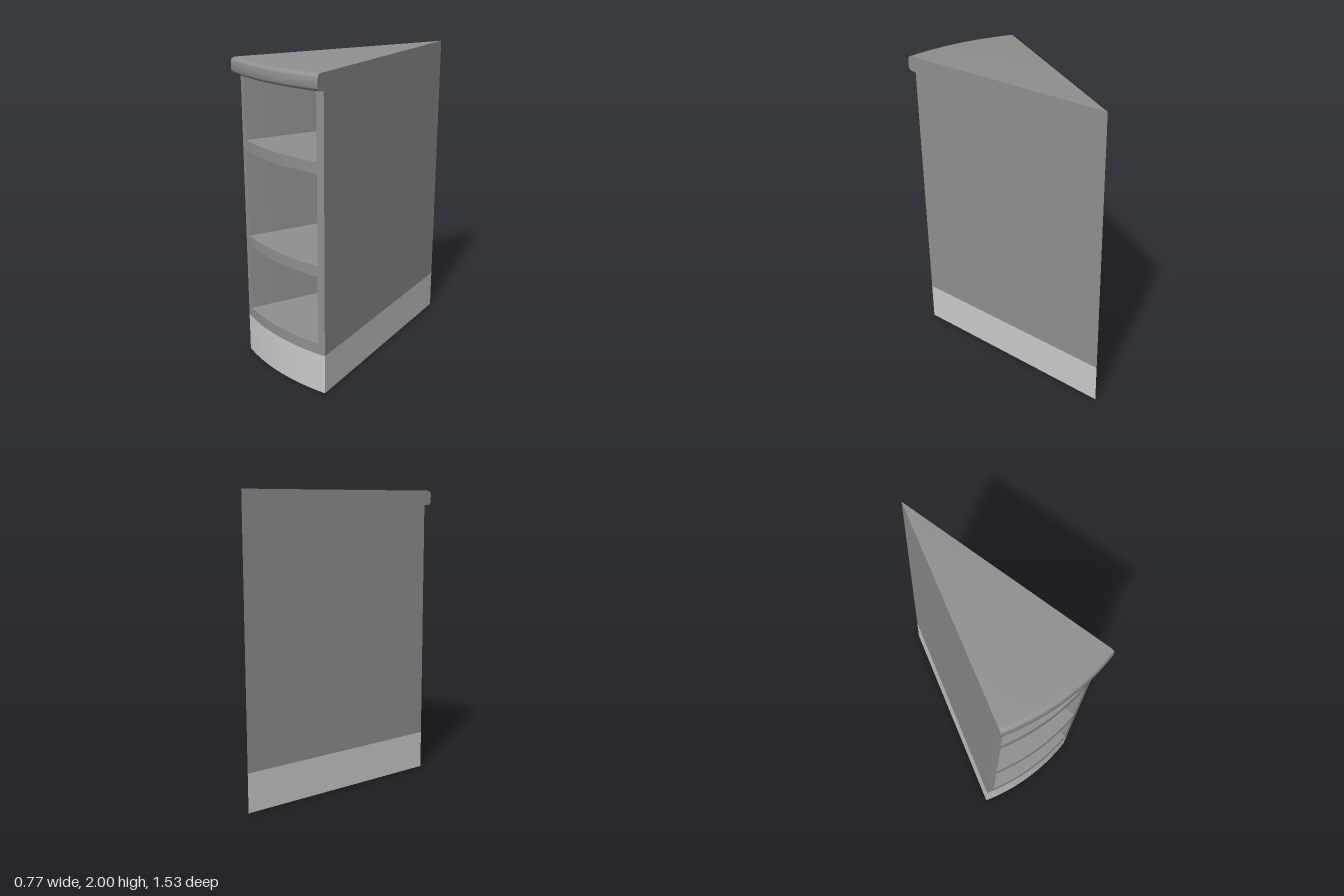
import * as THREE from 'three';
import { mergeGeometries, toCreasedNormals } from 'three/addons/utils/BufferGeometryUtils.js';

const ANGLE = Math.PI / 6;   // wedge opening angle
const R = 1.475;             // carcass radius
const R_TOP = 1.535;         // worktop radius
const T = 0.05;              // side panel thickness
const SHELF = 0.07;          // shelf thickness
const Y_BASE = 0.26, Y_TOP = 1.9, HEIGHT = 2;

const baseMat = new THREE.MeshStandardMaterial({ color: 0xcccccc });
const bodyMat = new THREE.MeshStandardMaterial({ color: 0x909090 });

// Plan point at a distance from the apex, angle measured from the front towards -x
const polar = (r, a) => new THREE.Vector2(-r * Math.sin(a), -r * Math.cos(a));

// Points along a front arc
function arc(r, a0, a1, n) {
  return Array.from({ length: n + 1 }, (_, i) => polar(r, a0 + (a1 - a0) * i / n));
}

// Vertical prism over a plan outline
function slab(points, y0, y1) {
  const g = new THREE.ExtrudeGeometry(new THREE.Shape(points), { depth: y1 - y0, bevelEnabled: false });
  g.rotateX(-Math.PI / 2).translate(0, y0, 0);
  return toCreasedNormals(g, 0.5);
}

// Worktop: rounded front profile swept through the wedge angle, closed by two flat ends
function worktopGeometry() {
  const r = 0.03, profile = [new THREE.Vector2(0, Y_TOP)];
  for (const [cy, start] of [[Y_TOP + r, -Math.PI / 2], [HEIGHT - r, 0]]) {
    for (let i = 0; i <= 6; i++) {
      const a = start + i / 6 * Math.PI / 2;
      profile.push(new THREE.Vector2(R_TOP - r + r * Math.cos(a), cy + r * Math.sin(a)));
    }
  }
  profile.push(new THREE.Vector2(0, HEIGHT));
  const sweep = new THREE.LatheGeometry(profile, 32, -ANGLE, ANGLE);
  const mirrored = profile.map(p => new THREE.Vector2(-p.x, p.y));
  const leftEnd = new THREE.ShapeGeometry(new THREE.Shape(mirrored)).rotateY(Math.PI / 2);
  const rightEnd = new THREE.ShapeGeometry(new THREE.Shape(profile)).rotateY(-ANGLE - Math.PI / 2);
  return toCreasedNormals(mergeGeometries([sweep, leftEnd, rightEnd]), 0.6);
}

export function createModel() {
  const group = new THREE.Group();
  group.name = 'cornerShelfUnit';
  const add = (name, geometry, material) => {
    const mesh = new THREE.Mesh(geometry, material);
    mesh.name = name;
    mesh.position.set(0.384, 0, -0.768);
    group.add(mesh);
  };

  // Plinth
  add('plinth', slab([polar(0, 0), ...arc(R, 0, ANGLE, 32)], 0, Y_BASE), baseMat);

  // Side panels, mitred together at the back
  const edge = Math.asin(T / R);
  const innerApex = polar(T / Math.sin(ANGLE / 2), ANGLE / 2);
  add('leftPanel', slab([polar(0, 0), ...arc(R, 0, edge, 2), innerApex], Y_BASE, Y_TOP), bodyMat);
  add('rightPanel', slab([polar(0, 0), ...arc(R, ANGLE, ANGLE - edge, 2), innerApex], Y_BASE, Y_TOP), bodyMat);

  // Bottom board and two shelves between the panels
  const shelfPlan = [innerApex, ...arc(R, edge, ANGLE - edge, 28)];
  [Y_BASE, 0.777, 1.416].forEach((y, i) => {
    add(i ? 'shelf' + i : 'bottomBoard', slab(shelfPlan, y, y + SHELF), bodyMat);
  });

  // Overhanging worktop
  add('worktop', worktopGeometry(), bodyMat);
  return group;
}
